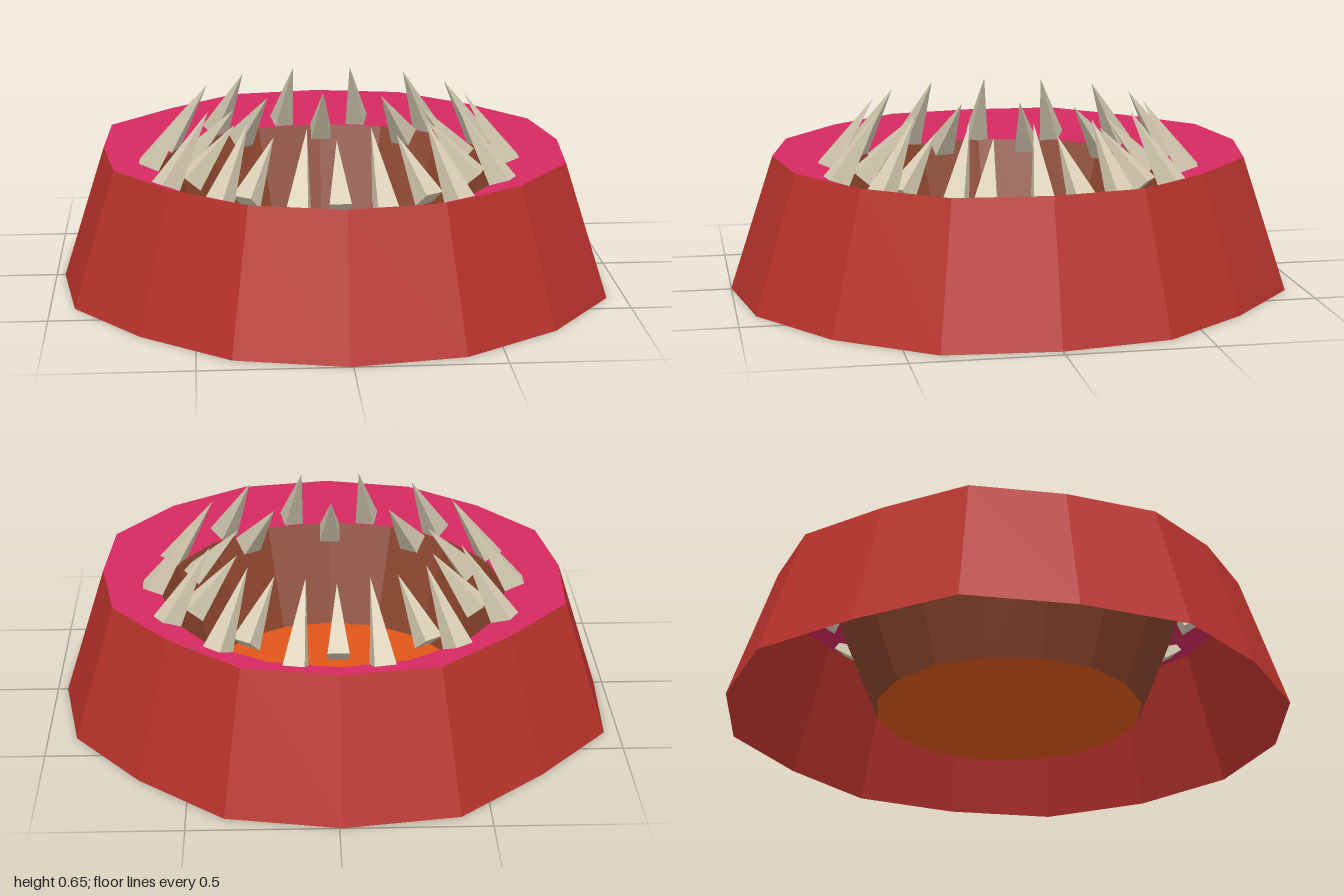
import * as THREE from 'three';

const mat = (name, color, flatShading = true) => {
  const m = new THREE.MeshStandardMaterial({ color, flatShading, side: THREE.DoubleSide });
  m.name = name;
  return m;
};

const SIDES = 16;
const CENTRE_X = -0.01;

// Slightly irregular 16-sided outline at the base, as [x, z] going from +x towards +z
const OUTLINE = [
  [0.965, 0], [0.935, 0.39], [0.7, 0.71], [0.375, 0.935],
  [-0.01, 1], [-0.385, 0.915], [-0.685, 0.675], [-0.915, 0.38],
  [-0.97, 0], [-0.95, -0.385], [-0.695, -0.675], [-0.4, -0.94],
  [-0.01, -1], [0.375, -0.93], [0.667, -0.675], [0.9, -0.375],
];

const outlineRing = (scale, y) => OUTLINE.map(([x, z]) => [x * scale, y, z * scale]);

const roundRing = (r, y) => OUTLINE.map((_, i) => {
  const a = (i / SIDES) * Math.PI * 2;
  return [CENTRE_X + r * Math.cos(a), y, r * Math.sin(a)];
});

// Faceted band joining two rings
function band(name, from, to, material) {
  const pos = [];
  for (let i = 0; i < SIDES; i++) {
    const j = (i + 1) % SIDES;
    pos.push(...from[i], ...to[i], ...to[j], ...from[i], ...to[j], ...from[j]);
  }
  const geo = new THREE.BufferGeometry();
  geo.setAttribute('position', new THREE.Float32BufferAttribute(pos, 3));
  geo.computeVertexNormals();
  const mesh = new THREE.Mesh(geo, material);
  mesh.name = name;
  return mesh;
}

// Ring of four-sided spikes leaning inwards from (baseR, baseY) to (tipR, tipY)
function toothRing(name, count, start, radius, baseR, baseY, tipR, tipY, material) {
  const ring = new THREE.Group();
  ring.name = name;
  ring.position.x = CENTRE_X;
  const lean = baseR - tipR, rise = tipY - baseY, length = Math.hypot(lean, rise);
  const geo = new THREE.ConeGeometry(radius, length, 4);
  geo.rotateY(Math.PI / 4);
  geo.translate(0, length / 2, 0);
  geo.rotateZ(Math.atan2(lean, rise));
  geo.translate(baseR, baseY, 0);
  for (let i = 0; i < count; i++) {
    const tooth = new THREE.Mesh(geo, material);
    tooth.name = 'tooth';
    tooth.rotation.y = start + (i / count) * Math.PI * 2;
    ring.add(tooth);
  }
  return ring;
}

export function createModel() {
  const red = mat('red shell', 0xb8322b);
  const pink = mat('pink gum', 0xd62a62, false);
  const brown = mat('brown throat', 0x86422a);
  const orange = mat('orange floor', 0xe05618);
  const bone = mat('bone teeth', 0xd6cbb2);

  const model = new THREE.Group();
  model.name = 'toothedMouth';

  // Open shell, gum sloping down to the hole, and throat tapering to the floor
  const rim = outlineRing(0.843, 0.475);
  const hole = roundRing(0.62, 0.39);
  const floorY = 0.03;
  model.add(band('outerShell', outlineRing(1, 0), rim, red));
  model.add(band('throat', hole, roundRing(0.473, floorY), brown));

  // Gum is shaded evenly, as one soft surface facing up
  const gum = band('gum', rim, hole, pink);
  const normals = gum.geometry.attributes.normal;
  for (let i = 0; i < normals.count; i++) normals.setXYZ(i, 0, 1, 0);
  model.add(gum);

  const floor = new THREE.Mesh(new THREE.CircleGeometry(0.473, SIDES), orange);
  floor.name = 'throatFloor';
  floor.rotation.x = -Math.PI / 2;
  floor.position.set(CENTRE_X, floorY, 0);
  model.add(floor);

  // Teeth: the outer ring is rooted through the gum, the inner ring stands inside the hole
  model.add(toothRing('outerTeeth', 14, 0, 0.058, 0.667, 0.375, 0.483, 0.65, bone));
  model.add(toothRing('innerTeeth', 10, Math.PI / 2, 0.053, 0.53, 0.385, 0.36, 0.577, bone));

  return model;
}
